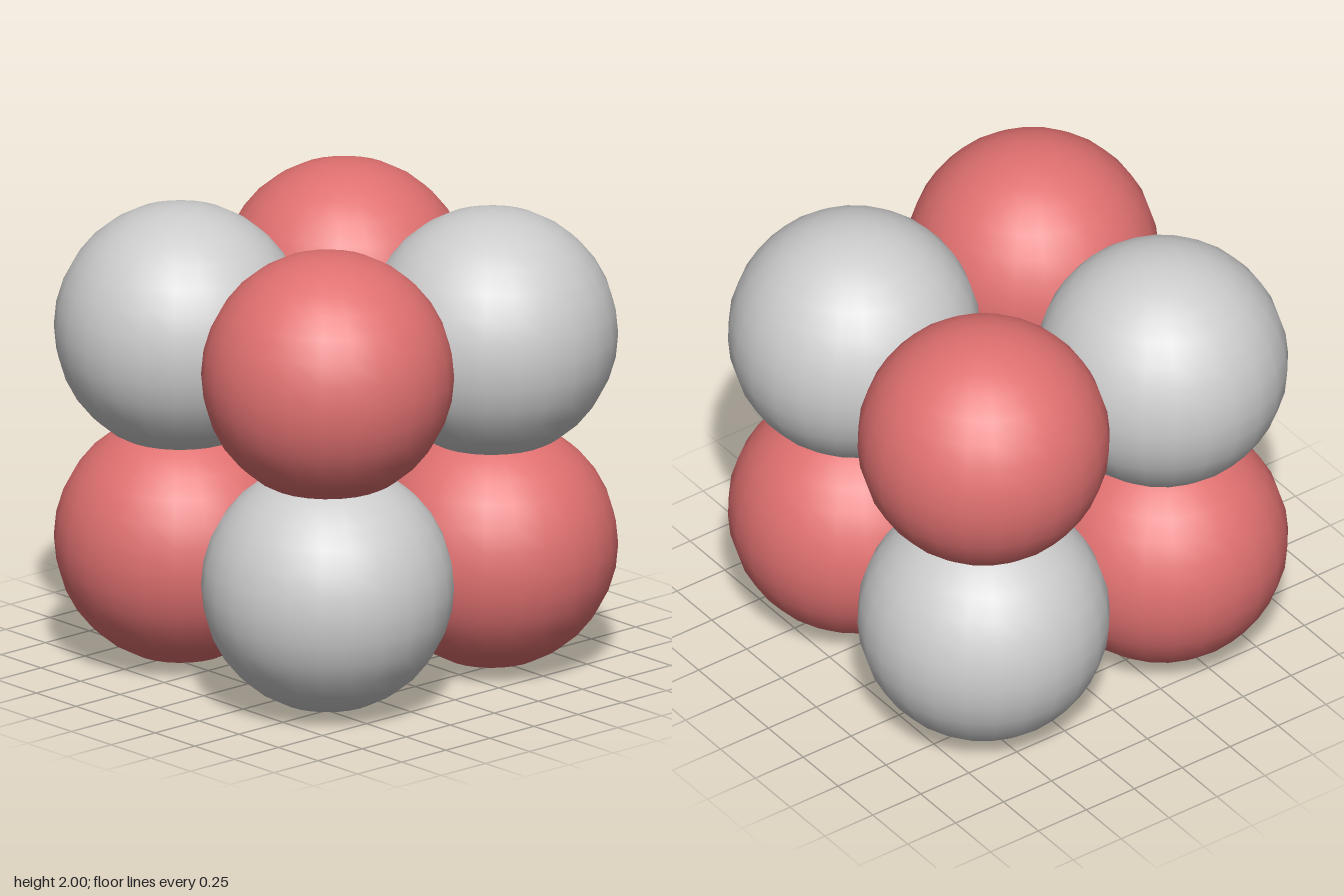
import * as THREE from 'three';

export function createModel() {
  const model = new THREE.Group();
  model.name = 'sphereCluster';

  const red = new THREE.MeshStandardMaterial({ color: 0xe07070 });
  red.name = 'soft red';
  const grey = new THREE.MeshStandardMaterial({ color: 0xcccccc });
  grey.name = 'light grey';

  // Eight overlapping balls on the corners of a cube, colours alternating
  const radius = 0.535;
  const offset = 1 - radius;
  const ball = new THREE.SphereGeometry(radius, 24, 16);

  for (const y of [-1, 1]) {
    for (const z of [-1, 1]) {
      for (const x of [-1, 1]) {
        const mesh = new THREE.Mesh(ball, x * y * z > 0 ? red : grey);
        mesh.name = `${y > 0 ? 'top' : 'bottom'}${z > 0 ? 'Front' : 'Back'}${x > 0 ? 'Left' : 'Right'}Ball`;
        mesh.position.set(x * offset, 1 + y * offset, z * offset);
        model.add(mesh);
      }
    }
  }
  return model;
}
